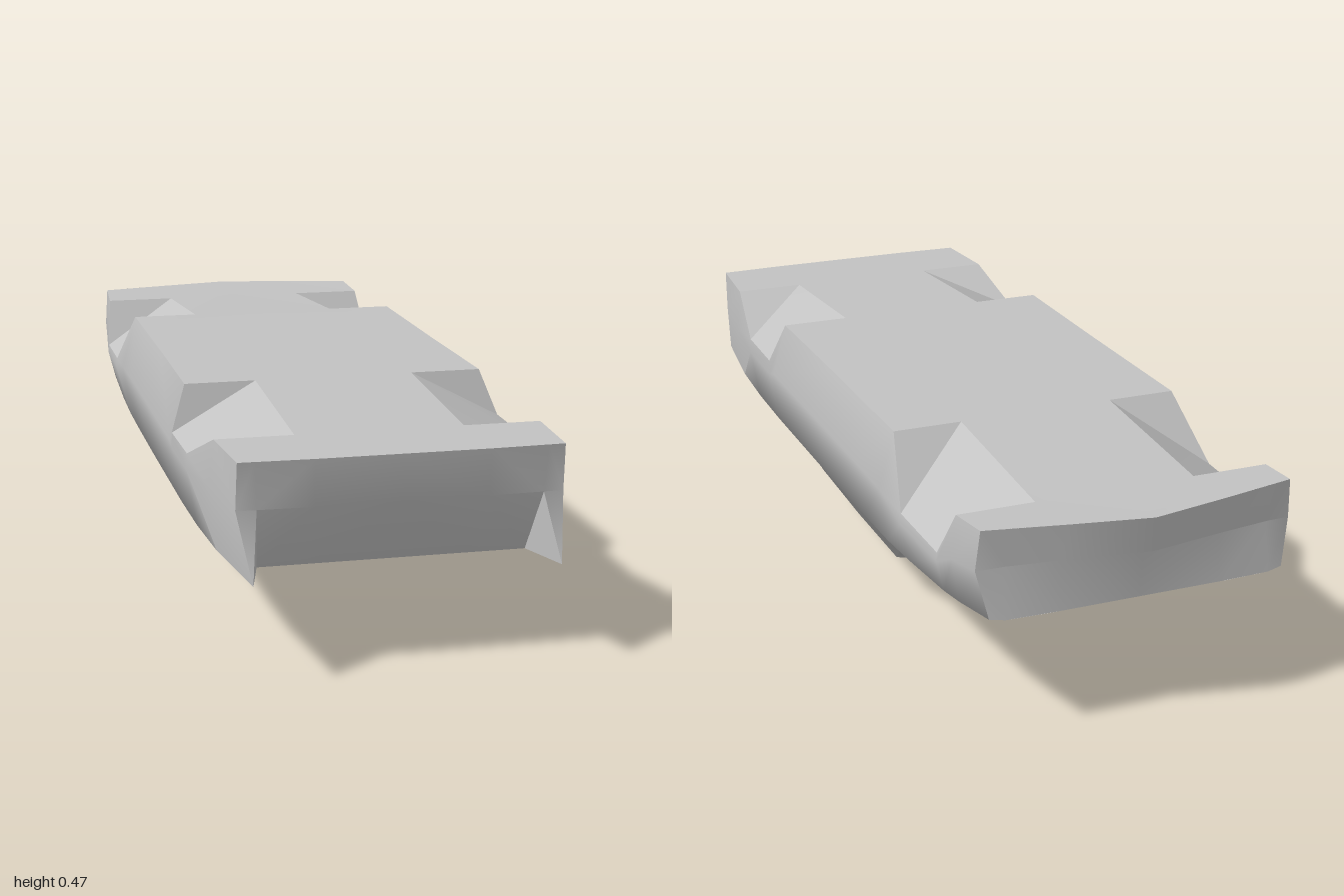
import * as THREE from 'three';
import { toCreasedNormals } from 'three/addons/utils/BufferGeometryUtils.js';

// Lofts a grid of [x, y, z] rows on the +x half and mirrors it across x = 0
function mirroredLoft(rows, crease) {
  const pos = [];
  const tri = (a, b, c) => {
    const [A, B, C] = [a, b, c].map(p => new THREE.Vector3(...p));
    if (B.clone().sub(A).cross(C.clone().sub(A)).length() < 1e-7) return;
    pos.push(...a, ...b, ...c);
    for (const p of [a, c, b]) pos.push(-p[0], p[1], p[2]);
  };
  for (let i = 0; i < rows.length - 1; i++) {
    for (let j = 0; j < rows[i].length - 1; j++) {
      const a = rows[i][j], b = rows[i][j + 1];
      const c = rows[i + 1][j], d = rows[i + 1][j + 1];
      tri(a, b, c);
      tri(b, d, c);
    }
  }
  const g = new THREE.BufferGeometry();
  g.setAttribute('position', new THREE.Float32BufferAttribute(pos, 3));
  return toCreasedNormals(g, crease);
}

// Flat side of the shell: inner z, inner y, then rim x, y, z (rim dips at the wheel wells)
const deck = [
  [0.95, 0.445, 0.335, 0.445, 0.945],
  [0.76, 0.445, 0.347, 0.445, 0.76],
  [0.76, 0.445, 0.372, 0.37, 0.58],
  [0.365, 0.47, 0.375, 0.37, 0.40],
  [0.365, 0.47, 0.34, 0.47, 0.365],
  [0, 0.47, 0.337, 0.47, 0],
  [-0.27, 0.47, 0.337, 0.47, -0.27],
  [-0.42, 0.47, 0.337, 0.47, -0.42],
  [-0.42, 0.47, 0.37, 0.335, -0.55],
  [-0.82, 0.44, 0.366, 0.33, -0.75],
  [-0.82, 0.44, 0.352, 0.44, -0.82],
  [-0.965, 0.45, 0.345, 0.45, -0.93],
];

// Belt x, y; sill x, y; underside z, y; cabin edge x, y; cabin centre y
const lower = [
  [0.337, 0.345, 0.315, 0.21, 0.87, 0.205, 0.2, 0.205, 0.205],
  [0.358, 0.345, 0.343, 0.21, 0.70, 0.2, 0.2, 0.2, 0.2],
  [0.374, 0.335, 0.352, 0.21, 0.54, 0.2, 0.25, 0.2, 0.2],
  [0.376, 0.335, 0.355, 0.21, 0.31, 0.2, 0.275, 0.105, 0.098],
  [0.375, 0.345, 0.355, 0.21, 0.29, 0.2, 0.277, 0.1, 0.095],
  [0.374, 0.345, 0.355, 0.21, 0, 0.2, 0.28, 0.095, 0.075],
  [0.374, 0.345, 0.355, 0.212, -0.27, 0.2, 0.28, 0.095, 0.075],
  [0.373, 0.34, 0.355, 0.215, -0.42, 0.195, 0.25, 0.19, 0.19],
  [0.372, 0.31, 0.355, 0.225, -0.55, 0.21, 0.2, 0.205, 0.205],
  [0.368, 0.31, 0.35, 0.24, -0.75, 0.23, 0.2, 0.228, 0.228],
  [0.362, 0.345, 0.345, 0.247, -0.82, 0.238, 0.2, 0.236, 0.236],
  [0.352, 0.36, 0.33, 0.26, -0.945, 0.255, 0.2, 0.253, 0.253],
];

export function createModel() {
  const group = new THREE.Group();
  const grey = new THREE.MeshStandardMaterial({ color: 0xc2c2c2, side: THREE.DoubleSide });
  grey.name = 'plain grey';
  const add = (name, geometry) => {
    const mesh = new THREE.Mesh(geometry, grey);
    mesh.name = name;
    group.add(mesh);
    return mesh;
  };

  // Flat deck with four wheel wells
  const last = deck.length - 1;
  add('deckWithWheelWells', mirroredLoft(deck.map(([z, y, ox, oy, oz], i) => [
    [0, y, i === last ? -1 : z], [0.18, y, z], [ox, oy, oz],
  ]), 0.15));

  // Sides, underside and cabin; the front sill runs out into the corner points
  add('sidesAndCabin', mirroredLoft(lower.map(([bx, by, sx, sy, z, uy, cx, cy, mid], i) => {
    const [, , ox, oy, oz] = deck[i];
    const sillZ = i === 0 ? 1 : i === last ? -0.94 : oz;
    return [
      [ox, oy, oz], [bx, by, i === 0 ? 0.935 : i === last ? -0.92 : oz], [sx, sy, sillZ],
      [sx - 0.033, uy, z], [cx, cy, z], [0.18, mid, z], [0, mid, z],
    ];
  }), 1.15));

  // Front end: upright lip over a recessed lower face, with pointed corners
  add('frontEnd', mirroredLoft([
    [[0, 0.205, 0.87], [0.18, 0.205, 0.87], [0.282, 0.205, 0.87], [0.315, 0.21, 1]],
    [[0, 0.345, 0.94], [0.18, 0.345, 0.94], [0.295, 0.345, 0.937], [0.337, 0.345, 0.935]],
    [[0, 0.445, 0.95], [0.18, 0.445, 0.95], [0.3, 0.445, 0.946], [0.335, 0.445, 0.945]],
  ], 0.8));

  // Rear end: pointed bumper over a set-back panel
  add('rearEnd', mirroredLoft([
    [[0, 0.45, -1], [0.18, 0.45, -0.965], [0.295, 0.45, -0.94], [0.345, 0.45, -0.93]],
    [[0, 0.375, -0.995], [0.18, 0.372, -0.96], [0.295, 0.368, -0.937], [0.352, 0.36, -0.92]],
    [[0, 0.37, -0.95], [0.18, 0.367, -0.935], [0.295, 0.363, -0.925], [0.352, 0.36, -0.92]],
    [[0, 0.253, -0.945], [0.18, 0.253, -0.945], [0.297, 0.255, -0.945], [0.33, 0.26, -0.94]],
  ], 0.8));

  // Tapered peg under the cabin
  const peg = add('peg', new THREE.CylinderGeometry(0.045, 0.025, 0.085, 10));
  peg.position.set(0, 0.0425, -0.015);

  return group;
}
